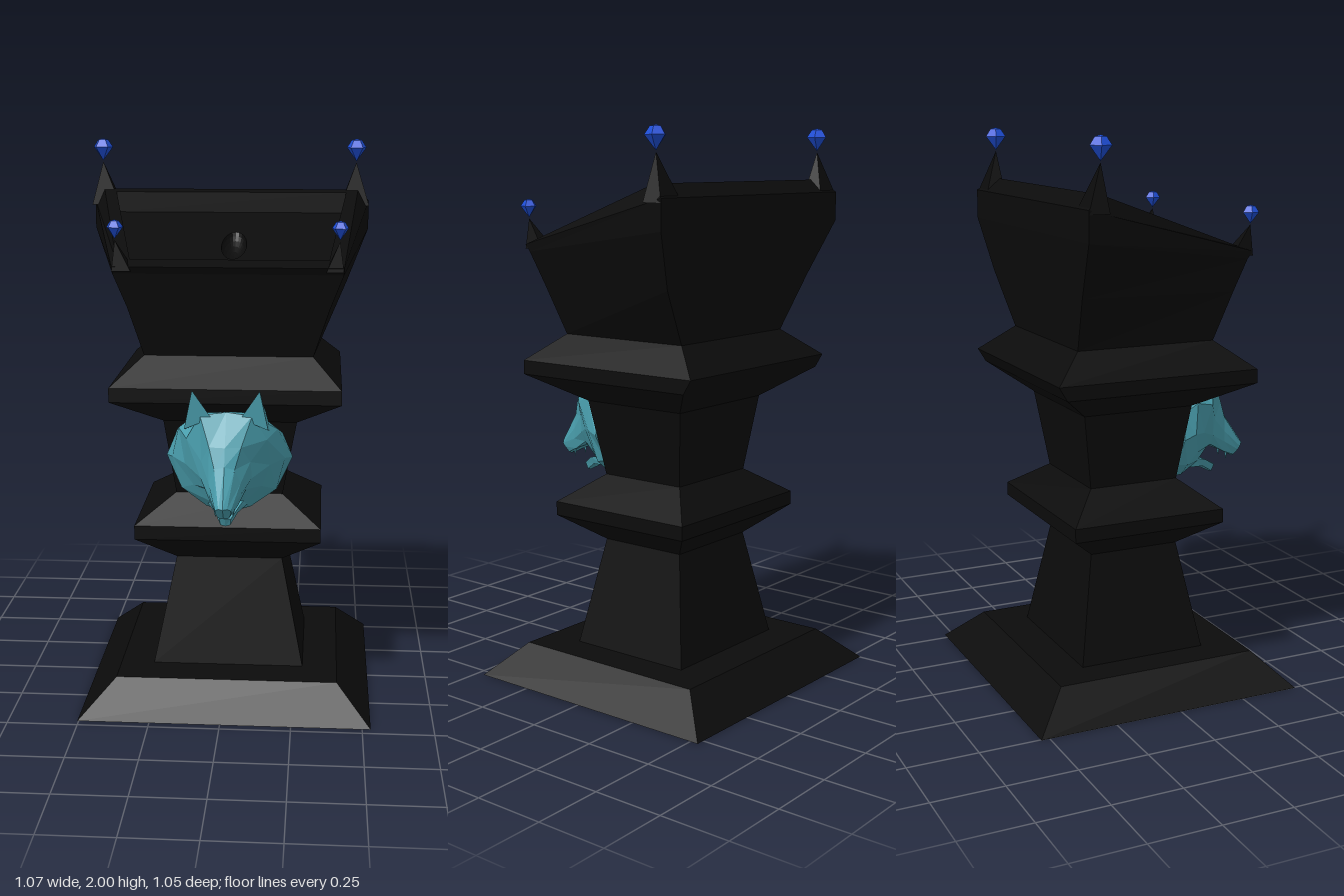
import * as THREE from 'three';

const material = (color, side = THREE.FrontSide) =>
  new THREE.MeshStandardMaterial({ color, flatShading: true, side });
const STONE = material(0x0b0b0b);
const HOLLOW = material(0x0b0b0b, THREE.BackSide);
const TEAL = material(0x4a9fae);
const BLUE = material(0x1f4fd8);

// Skin over rings of [x, y, z] points, counter-clockwise seen from the end
function loft(rings, capStart = true, capEnd = true) {
  const n = rings[0].length, index = [];
  for (let i = 0; i < rings.length - 1; i++) {
    for (let j = 0; j < n; j++) {
      const a = i * n + j, b = i * n + (j + 1) % n;
      index.push(a, b, b + n, a, b + n, a + n);
    }
  }
  const last = (rings.length - 1) * n;
  for (let j = 1; j < n - 1; j++) {
    if (capStart) index.push(0, j + 1, j);
    if (capEnd) index.push(last, last + j, last + j + 1);
  }
  const g = new THREE.BufferGeometry();
  g.setAttribute('position', new THREE.Float32BufferAttribute(rings.flat(2), 3));
  g.setIndex(index);
  g.computeVertexNormals();
  return g;
}

function add(parent, name, geometry, mat) {
  const mesh = new THREE.Mesh(geometry, mat);
  mesh.name = name;
  parent.add(mesh);
  return mesh;
}

// Level rectangle: height, left/right extents, back/front extents
const rect = ([y, x0, x1, z0, z1]) => [[x1, y, z1], [x1, y, z0], [x0, y, z0], [x0, y, z1]];
// Sloping trapezoid given by its front and back edges: [x0, x1, y, z]
const slope = ([f, b]) => [[f[1], f[2], f[3]], [b[1], b[2], b[3]], [b[0], b[2], b[3]], [f[0], f[2], f[3]]];

function makePedestal() {
  const group = new THREE.Group();
  group.name = 'pedestal';
  // Base plate, stem and two mouldings
  const column = [
    [0, -0.505, 0.53, -0.53, 0.47], [0.12, -0.38, 0.41, -0.405, 0.35],
    [0.12, -0.26, 0.285, -0.27, 0.21], [0.51, -0.18, 0.205, -0.2, 0.14],
    [0.61, -0.32, 0.345, -0.32, 0.26], [0.66, -0.32, 0.345, -0.32, 0.26],
    [0.755, -0.18, 0.205, -0.2, 0.14], [1.03, -0.22, 0.255, -0.24, 0.18],
    [1.13, -0.39, 0.41, -0.375, 0.35], [1.18, -0.39, 0.41, -0.405, 0.35],
    [1.275, -0.28, 0.31, -0.29, 0.23],
  ];
  add(group, 'column', loft(column.map(rect)), STONE);

  // Flared head with a sloping rim around a recess
  const head = [
    [[-0.28, 0.31, 1.275, 0.23], [-0.28, 0.31, 1.275, -0.29]],
    [[-0.33, 0.365, 1.45, 0.28], [-0.4, 0.43, 1.47, -0.325]],
    [[-0.375, 0.41, 1.57, 0.31], [-0.535, 0.507, 1.665, -0.36]],
    [[-0.375, 0.41, 1.595, 0.33], [-0.535, 0.507, 1.77, -0.36]],
    [[-0.36, 0.4, 1.605, 0.3], [-0.49, 0.465, 1.815, -0.3]],
    [[-0.32, 0.36, 1.615, 0.27], [-0.44, 0.42, 1.805, -0.27]],
    [[-0.32, 0.36, 1.54, 0.27], [-0.44, 0.42, 1.73, -0.27]],
  ];
  add(group, 'headBlock', loft(head.map(slope), false, false), STONE);

  // Sloping panel with an oval socket
  const panelY = z => 1.635 - 0.352 * z;
  const shape = new THREE.Shape([[-0.32, -0.27], [0.36, -0.27], [0.42, 0.27], [-0.44, 0.27]]
    .map(p => new THREE.Vector2(...p)));
  const hole = new THREE.Path();
  hole.absellipse(0.02, 0, 0.045, 0.105, 0, Math.PI * 2, true);
  shape.holes.push(hole);
  const panel = new THREE.ShapeGeometry(shape, 12).rotateX(-Math.PI / 2);
  const socket = new THREE.SphereGeometry(1, 24, 5, 0, Math.PI * 2, Math.PI / 2, Math.PI / 2)
    .scale(0.045, 0.04, 0.105).translate(0.02, 0, 0);
  for (const g of [panel, socket]) {
    const p = g.attributes.position;
    for (let i = 0; i < p.count; i++) p.setY(i, p.getY(i) + panelY(p.getZ(i)));
    g.computeVertexNormals();
  }
  add(group, 'panel', panel, STONE);
  add(group, 'socket', socket, HOLLOW);
  return group;
}

// Corner horns, each with a floating five-sided gem
function makeCorners() {
  const group = new THREE.Group();
  group.name = 'corners';
  const corners = [ // outer x, inner x, outer z, inner z, base y, tip
    [-0.535, -0.43, -0.36, -0.285, 1.755, [-0.493, 1.915, -0.3], 1],
    [0.507, 0.4, -0.36, -0.285, 1.755, [0.457, 1.915, -0.3], 1],
    [-0.375, -0.31, 0.33, 0.25, 1.58, [-0.362, 1.685, 0.325], 0.78],
    [0.41, 0.35, 0.33, 0.25, 1.58, [0.395, 1.685, 0.325], 0.78],
  ];
  for (const [xo, xi, zo, zi, y, tip, size] of corners) {
    const base = rect([y, Math.min(xo, xi), Math.max(xo, xi), Math.min(zo, zi), Math.max(zo, zi)]);
    add(group, 'horn', loft([base, base.map(() => tip)], true, false), STONE);
    const profile = [[0, 0], [0.038, 0.05], [0.02, 0.077], [0, 0.082]].map(p => new THREE.Vector2(...p));
    const gem = add(group, 'gem', new THREE.LatheGeometry(profile, 5, Math.PI), BLUE);
    gem.scale.setScalar(size);
    gem.position.set(tip[0], tip[1] + 0.004, tip[2]);
  }
  return group;
}

// Faceted wolf head from half sections mirrored in x
function makeWolf() {
  const group = new THREE.Group();
  group.name = 'wolfHead';
  group.position.x = 0.015;
  const mirror = half => [...half.slice().reverse(),
    ...half.slice(1, -1).map(([x, y, z]) => [-x, y, z])];
  const skull = [
    [[0, 1.03, 0.17], [0.1, 1.04, 0.17], [0.19, 0.99, 0.17], [0.226, 0.9, 0.16], [0.18, 0.8, 0.15], [0.09, 0.73, 0.14], [0, 0.7, 0.14]],
    [[0, 1.08, 0.24], [0.1, 1.08, 0.25], [0.175, 1.02, 0.24], [0.2, 0.91, 0.22], [0.17, 0.79, 0.2], [0.08, 0.73, 0.22], [0, 0.705, 0.22]],
    [[0, 1.1, 0.34], [0.09, 1.09, 0.35], [0.14, 1, 0.32], [0.15, 0.9, 0.28], [0.12, 0.82, 0.27], [0.06, 0.77, 0.3], [0, 0.76, 0.3]],
    [[0, 0.99, 0.41], [0.055, 0.99, 0.4], [0.085, 0.93, 0.36], [0.09, 0.87, 0.35], [0.07, 0.83, 0.35], [0.04, 0.82, 0.355], [0, 0.82, 0.355]],
    [[0, 0.93, 0.44], [0.035, 0.92, 0.43], [0.055, 0.87, 0.42], [0.055, 0.83, 0.42], [0.045, 0.79, 0.42], [0.025, 0.79, 0.42], [0, 0.8, 0.42]],
    [[0, 0.805, 0.525], [0.015, 0.805, 0.515], [0.027, 0.797, 0.505], [0.027, 0.785, 0.495], [0.02, 0.765, 0.48], [0.01, 0.76, 0.475], [0, 0.76, 0.475]],
  ];
  add(group, 'skull', loft(skull.map(mirror)), TEAL);

  const jaw = [
    [[0, 0.8, 0.26], [0.075, 0.79, 0.26], [0.07, 0.75, 0.26], [0, 0.74, 0.26]],
    [[0, 0.755, 0.345], [0.045, 0.765, 0.345], [0.04, 0.74, 0.335], [0, 0.73, 0.335]],
    [[0, 0.735, 0.4], [0.02, 0.735, 0.395], [0.017, 0.71, 0.385], [0, 0.705, 0.385]],
  ];
  add(group, 'lowerJaw', loft(jaw.map(mirror)), TEAL);

  for (const s of [-1, 1]) {
    const ear = [[0.145, 1.04, 0.35], [0.15, 1.01, 0.22], [0.08, 1.04, 0.22], [0.05, 1.08, 0.35]]
      .map(([x, y, z]) => [s * x, y, z]);
    if (s < 0) ear.reverse();
    add(group, 'ear', loft([ear, ear.map(() => [s * 0.116, 1.18, 0.365])], true, false), TEAL);
    const fang = add(group, 'fang', new THREE.ConeGeometry(0.01, 0.045, 4), TEAL);
    fang.rotation.x = Math.PI;
    fang.position.set(s * 0.03, 0.775, 0.44);
  }
  return group;
}

export function createModel() {
  const model = new THREE.Group();
  model.name = 'wolfPedestal';
  model.add(makePedestal(), makeCorners(), makeWolf());
  return model;
}
